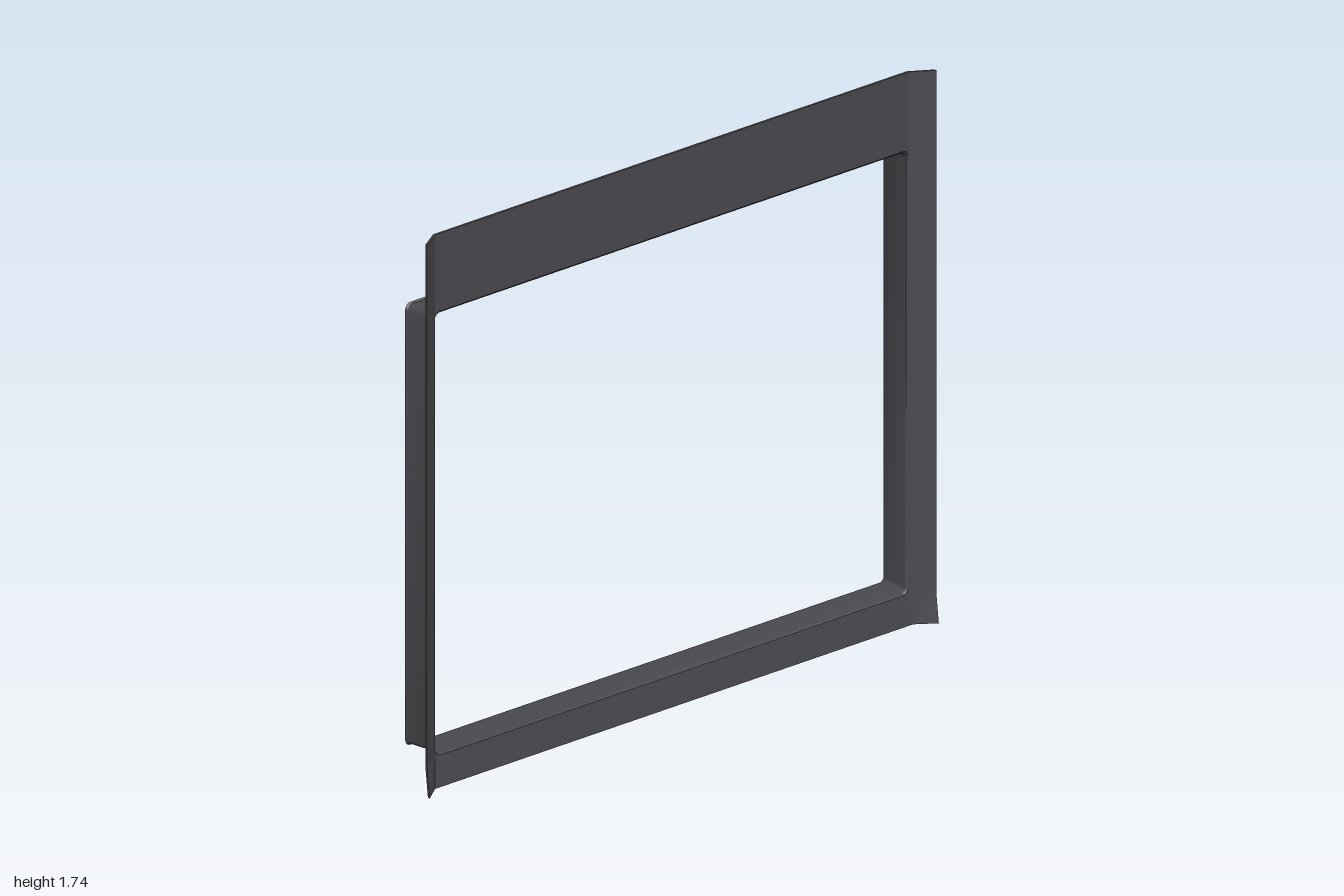
import * as THREE from 'three';
import { toCreasedNormals } from 'three/addons/utils/BufferGeometryUtils.js';

const W = 1, H = 1.74;                       // outer half width and height
const HX = 0.93, Y0 = 0.095, Y1 = 1.495;     // bend lines around the opening
const T = 0.008, Z = 0.03, R = 0.02;         // sheet thickness, plane, corner radius

// Sheet bend: side wings come forward, the bottom lip kicks forward too
function bend(x, y) {
  const wing = Math.max(0, (Math.abs(x) - HX) / (W - HX));
  const lip = Math.max(0, (Y0 - y) / Y0);
  return Z + 0.044 * wing + 0.011 * lip;
}

// One flat piece of the bent sheet
function panel(x0, x1, y0, y1) {
  const g = new THREE.BoxGeometry(x1 - x0, y1 - y0, T);
  g.translate((x0 + x1) / 2, (y0 + y1) / 2, 0);
  const p = g.attributes.position;
  for (let i = 0; i < p.count; i++) {
    const x = p.getX(i), y = p.getY(i);
    p.setZ(i, p.getZ(i) + bend(x, y));
    // the lower corner crease leans outward
    if (y < 0.001 && Math.abs(x) < HX + 0.001) p.setX(i, x * 1.01);
  }
  const flat = g.toNonIndexed();
  flat.computeVertexNormals();
  return flat;
}

// Points of a rounded rectangle ring
function ring(hx, y0, y1, z) {
  const pts = [], n = 5;
  const corners = [[hx - R, y1 - R], [-hx + R, y1 - R], [-hx + R, y0 + R], [hx - R, y0 + R]];
  corners.forEach(([cx, cy], c) => {
    for (let i = 0; i <= n; i++) {
      const a = (c + i / n) * Math.PI / 2;
      pts.push([cx + R * Math.cos(a), cy + R * Math.sin(a), z]);
    }
  });
  return pts;
}

// Skin a list of equal rings
function loft(rings) {
  const n = rings[0].length, index = [];
  for (let r = 0; r < rings.length - 1; r++) {
    for (let i = 0; i < n; i++) {
      const a = r * n + i, b = r * n + (i + 1) % n;
      index.push(a, a + n, b, b, a + n, b + n);
    }
  }
  const g = new THREE.BufferGeometry();
  g.setAttribute('position', new THREE.Float32BufferAttribute(rings.flat(2), 3));
  g.setIndex(index);
  return toCreasedNormals(g, 0.5);
}

export function createModel() {
  const group = new THREE.Group();
  group.name = 'windowBezel';
  const charcoal = new THREE.MeshStandardMaterial({ color: 0x49484d, side: THREE.DoubleSide });
  charcoal.name = 'charcoal';
  const add = (name, geometry) => {
    const mesh = new THREE.Mesh(geometry, charcoal);
    mesh.name = name;
    group.add(mesh);
  };

  // Face sheet: header, bottom lip and side wings
  add('header', panel(-HX, HX, Y1, H));
  add('bottomLip', panel(-HX, HX, 0, Y0));
  for (const [side, s] of [['left', 1], ['right', -1]]) {
    const a = Math.min(s * HX, s * W), b = Math.max(s * HX, s * W);
    add(side + 'Wing', panel(a, b, Y0, H));
    add(side + 'WingFoot', panel(a, b, 0, Y0));

    // Fillets rounding the corners of the opening
    for (const [end, y, d] of [['Top', Y1, -1], ['Bottom', Y0, 1]]) {
      const shape = new THREE.Shape();
      shape.moveTo(s * HX, y);
      shape.lineTo(s * (HX - R), y);
      shape.quadraticCurveTo(s * (HX - R * 0.15), y + d * R * 0.15, s * HX, y + d * R);
      shape.closePath();
      const g = new THREE.ExtrudeGeometry(shape, { depth: T, bevelEnabled: false, curveSegments: 5 });
      g.translate(0, 0, Z - T / 2);
      add(side + end + 'Fillet', g);
    }
  }

  // Sleeve running back from the opening, with a rolled front edge
  add('sleeve', loft([
    ring(0.93, 0.095, 1.495, 0.034),
    ring(0.926, 0.098, 1.489, 0.029),
    ring(0.925, 0.1, 1.486, 0.02),
    ring(0.937, 0.1, 1.486, -0.077),
    ring(0.94, 0.095, 1.491, -0.084),
  ]));
  return group;
}
